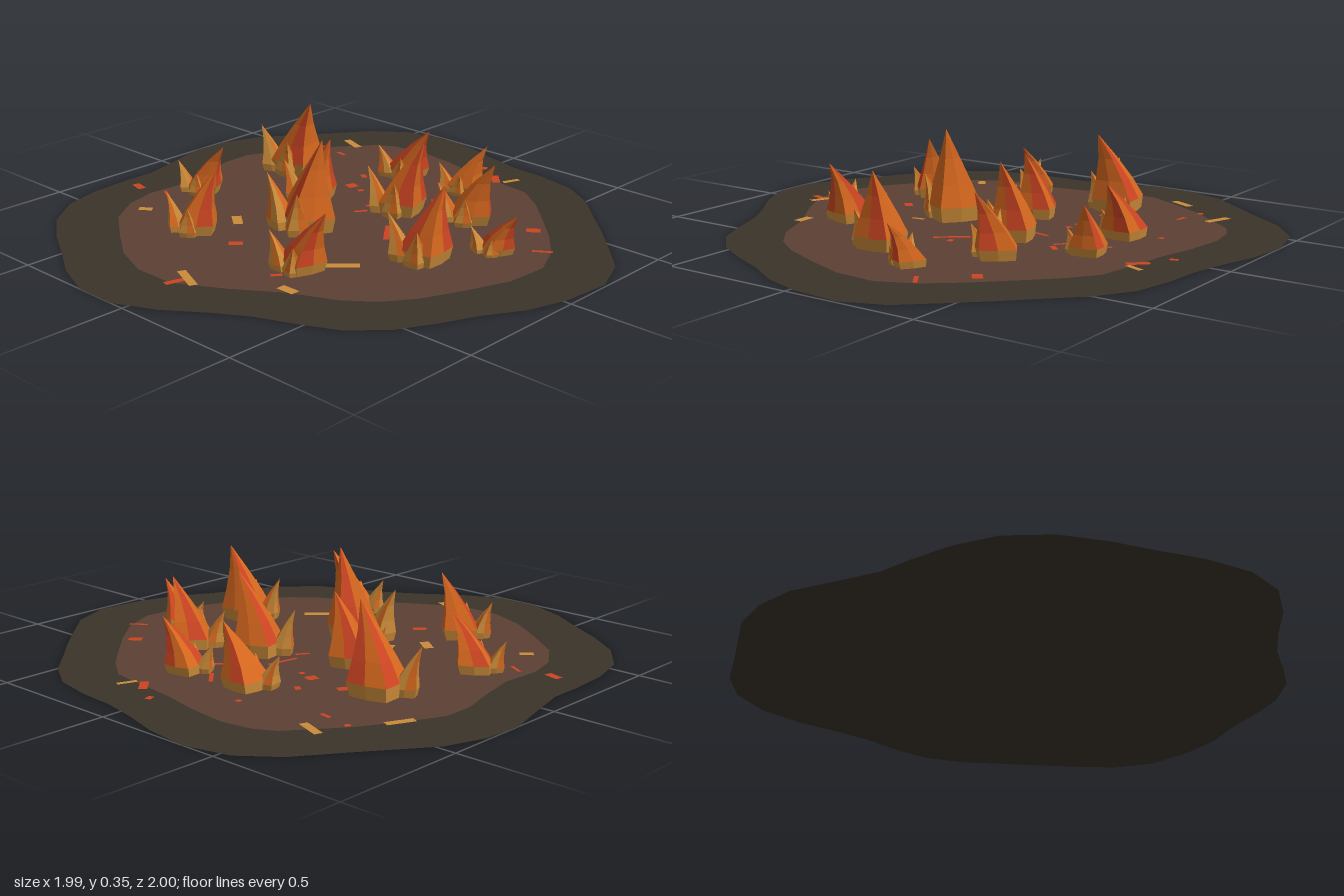
import * as THREE from 'three';

const paint = (name, color, side = THREE.FrontSide) => {
  const m = new THREE.MeshStandardMaterial({ color, side });
  m.name = name;
  return m;
};

// Ground outlines as x, z pairs
const CHAR_EDGE = [
  -.37, -1, -.2, -.98, -.06, -.94, .08, -.91, .22, -.9, .37, -.87, .5, -.79, .6, -.69, .71, -.585, .82, -.47,
  .93, -.35, .99, -.2, .975, -.02, .93, .13, .85, .265, .79, .4, .72, .53, .61, .64, .485, .7, .34, .76,
  .22, .835, .09, .93, -.06, 1, -.215, 1, -.37, .94, -.5, .86, -.64, .78, -.77, .685, -.87, .55, -.91, .4,
  -.92, .25, -.92, .12, -.96, -.04, -1, -.19, -.99, -.34, -.94, -.48, -.85, -.6, -.76, -.72, -.66, -.86, -.535, -.96];
const EARTH_EDGE = [
  -.31, -.79, -.15, -.77, -.02, -.74, .14, -.72, .285, -.7, .385, -.63, .48, -.54, .61, -.41, .71, -.29, .77, -.16,
  .76, 0, .7, .16, .635, .31, .56, .415, .46, .495, .295, .57, .135, .68, -.035, .775, -.195, .775, -.34, .72,
  -.48, .625, -.62, .52, -.7, .4, -.73, .28, -.72, .13, -.75, -.015, -.79, -.16, -.79, -.275, -.73, -.4, -.65, -.54,
  -.58, -.63, -.5, -.73, -.43, -.77];

// Flames: base x, base z, radius, height, tip x, tip z
const FLAMES = [
  [-.15, -.52, .075, .22, -.035, -.515], [.12, -.54, .065, .2, .2, -.57],
  [-.51, -.28, .095, .31, -.405, -.25], [.09, -.22, .085, .3, .185, -.23],
  [.33, -.32, .08, .25, .44, -.31], [.58, -.15, .06, .17, .675, -.14],
  [-.235, -.1, .078, .26, -.155, -.1], [-.04, .13, .1, .35, .02, .12],
  [.45, .07, .085, .29, .515, .05], [-.59, .13, .068, .21, -.48, .13],
  [-.3, .42, .075, .25, -.23, .39], [.21, .41, .075, .24, .32, .41]];

// Flat embers: x, z, length, width, angle
const RED_EMBERS = [
  .01, -.8, .03, .022, 1.3, .12, -.73, .08, .03, .8, -.22, -.625, .02, .02, 0, -.63, -.56, .02, .02, 1,
  -.52, -.54, .045, .015, .15, .02, -.52, .09, .015, .8, .55, -.4, .05, .035, -.7, .69, -.265, .07, .015, -.6,
  -.27, -.405, .035, .02, .6, -.23, -.295, .04, .04, .3, -.39, -.3, .06, .035, -1, -.17, -.28, .02, .02, .4,
  -.035, -.41, .07, .02, .1, .05, -.39, .06, .015, .7, .11, -.4, .05, .02, -.8, -.03, -.23, .12, .015, -1.4,
  -.02, -.12, .05, .015, -1, .19, -.03, .13, .02, .9, .23, -.055, .03, .02, -.3, -.17, .03, .09, .035, 1.1,
  -.81, .27, .06, .03, .25, -.67, .25, .065, .012, .5, -.12, .405, .05, .03, -.8, -.02, .76, .08, .025, -1.3,
  .18, .5, .04, .02, -.8];
const OCHRE_EMBERS = [
  -.57, -.66, .105, .03, .35, -.73, -.43, .1, .03, -1.13, .18, -.75, .07, .02, -1.2, -.275, .255, .08, .035, .65,
  .28, .3, .13, .035, -.75, -.6, .41, .05, .03, -.7, .295, .56, .07, .035, 0, -.01, .72, .13, .03, .4,
  -.225, -.005, .04, .03, 1.5, -.195, .155, .04, .02, 1.1, .045, .23, .05, .015, 1.4];

function groundSheet(name, edge, y, material) {
  const pts = [];
  for (let i = 0; i < edge.length; i += 2) pts.push(new THREE.Vector2(edge[i], -edge[i + 1]));
  const mesh = new THREE.Mesh(new THREE.ShapeGeometry(new THREE.Shape(pts)).rotateX(-Math.PI / 2), material);
  mesh.name = name;
  mesh.position.y = y;
  return mesh;
}

// Pointed tongue of fire: star-shaped rings that narrow and bend towards the tip.
// Rings are [height, radius] fractions; colourOf(band, side) picks a material.
const RINGS = [[0, .95], [.16, 1.04], [.4, .74], [.68, .38], [1, 0]];
const SIDES = 8;
function tongue(name, [x, z, radius, height, tipX, tipZ], materials, colourOf) {
  const buckets = materials.map(() => []);
  const point = (ring, side) => {
    const [t, r] = RINGS[ring];
    const a = (side % SIDES) / SIDES * Math.PI * 2 + x * 5;
    const rr = radius * r * (side % 2 ? .84 : 1.06);
    const bend = t ** 1.7;
    return [x + (tipX - x) * bend + Math.cos(a) * rr, .015 + (height - .015) * t,
      z + (tipZ - z) * bend + Math.sin(a) * rr];
  };
  for (let b = 0; b < RINGS.length - 1; b++) {
    for (let s = 0; s < SIDES; s++) {
      const out = buckets[colourOf(b, s)];
      const [a0, a1, b1, b0] = [point(b, s), point(b + 1, s), point(b + 1, s + 1), point(b, s + 1)];
      out.push(...a0, ...a1, ...b0);
      if (b < RINGS.length - 2) out.push(...a1, ...b1, ...b0);
    }
  }
  const geometry = new THREE.BufferGeometry();
  let start = 0;
  buckets.forEach((list, i) => {
    geometry.addGroup(start, list.length / 3, i);
    start += list.length / 3;
  });
  geometry.setAttribute('position', new THREE.Float32BufferAttribute(buckets.flat(), 3));
  geometry.computeVertexNormals();
  const mesh = new THREE.Mesh(geometry, materials);
  mesh.name = name;
  return mesh;
}

function embers(name, data, y, material) {
  const group = new THREE.Group();
  group.name = name;
  for (let i = 0; i < data.length; i += 5) {
    const [x, z, length, width, angle] = data.slice(i, i + 5);
    const mesh = new THREE.Mesh(new THREE.PlaneGeometry(length, width).rotateX(-Math.PI / 2), material);
    mesh.name = 'ember';
    mesh.position.set(x, y, z);
    mesh.rotation.y = -angle;
    group.add(mesh);
  }
  return group;
}

export function createModel() {
  const model = new THREE.Group();
  model.name = 'burningGround';
  const char = paint('char', 0x3b332a, THREE.DoubleSide);
  const earth = paint('scorchedEarth', 0x5c4033, THREE.DoubleSide);
  const red = paint('flameRed', 0xcc4422);
  const orange = paint('flameOrange', 0xd4661e);
  const ochre = paint('flameOchre', 0xc98a38);
  const fire = [ochre, orange, red];

  // Ground
  model.add(groundSheet('charredRim', CHAR_EDGE, 0, char));
  model.add(groundSheet('scorchedCentre', EARTH_EDGE, .006, earth));
  model.add(embers('redEmbers', RED_EMBERS, .011, red));
  model.add(embers('ochreEmbers', OCHRE_EMBERS, .013, ochre));

  // Each flame has one tall tongue and two short ones in front, on its right
  FLAMES.forEach((f, i) => {
    const [x, z, r, h] = f;
    const flame = new THREE.Group();
    flame.name = 'flame';
    flame.add(tongue('tallTongue', f, fire, (b, s) => b === 0 ? 0 : (s + i) % 3 === 0 ? 2 : 1));
    const side = [x - r * .72, z + r * .6, r * .5, h * .6, x - r * 1.3, z + r * .75];
    flame.add(tongue('sideTongue', side, fire, (b, s) => b > 0 && s % 3 === 0 ? 1 : 0));
    const front = [x + r * .15, z + r * .7, r * .48, h * .5, x + r * .45, z + r * 1.0];
    flame.add(tongue('frontTongue', front, fire, (b, s) => b > 0 && s % 2 === 0 ? 1 : 0));
    model.add(flame);
  });
  return model;
}
